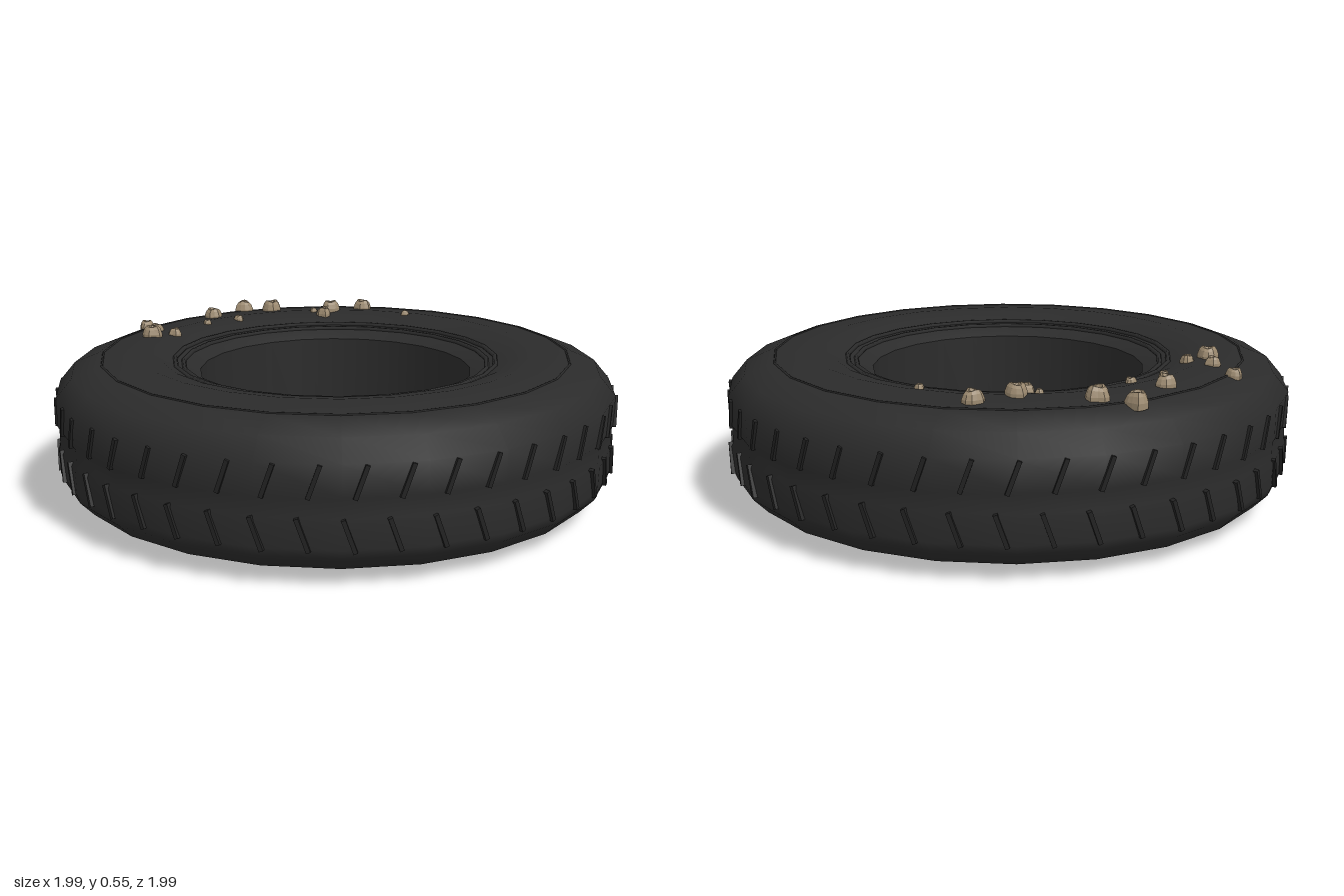
import * as THREE from 'three';

const SIDES = 24;
const rubber = new THREE.MeshStandardMaterial({ name: 'rubber', color: 0x2b2b2b });
const darkRubber = new THREE.MeshStandardMaterial({ name: 'darkRubber', color: 0x222222 });
const shell = new THREE.MeshStandardMaterial({ name: 'shell', color: 0x9c8a70, flatShading: true });
const shellHole = new THREE.MeshStandardMaterial({ name: 'shellHole', color: 0x4a4036, flatShading: true });

// Outer profile from the lower bead, round the tread, to the upper bead
const PROFILE = [
  [0.485, 0.045], [0.6, 0.015], [0.75, 0], [0.93, 0.05], [0.978, 0.1], [0.988, 0.13],
  [0.99, 0.215], [0.984, 0.225], [0.984, 0.285], [0.99, 0.295], [0.99, 0.395],
  [0.935, 0.46], [0.85, 0.494], [0.7, 0.51], [0.62, 0.495], [0.58, 0.477], [0.525, 0.457], [0.485, 0.435],
];

function add(parent, name, geometry, material) {
  const mesh = new THREE.Mesh(geometry, material);
  mesh.name = name;
  parent.add(mesh);
  return mesh;
}

const lathe = (points, sides) =>
  new THREE.LatheGeometry(points.map(([r, y]) => new THREE.Vector2(r, y)), sides);

function ring(parent, name, radius, y, tube) {
  const mesh = add(parent, name, new THREE.TorusGeometry(radius, tube, 6, SIDES), rubber);
  mesh.rotation.x = -Math.PI / 2;
  mesh.position.y = y;
}

// Height of the upper sidewall at a given radius
function sidewallHeight(r) {
  for (let i = 11; i < PROFILE.length - 1; i++) {
    const [r0, y0] = PROFILE[i], [r1, y1] = PROFILE[i + 1];
    if (r <= r0 && r >= r1) return y0 + ((y1 - y0) * (r0 - r)) / (r0 - r1);
  }
  return 0.5;
}

// One row of slanted tread bars lying on the flat facets of the tyre
function treadRow(parent, name, y, start, slant) {
  const row = new THREE.Group();
  row.name = name;
  const count = 45, step = (2 * Math.PI) / SIDES;
  const bar = new THREE.BoxGeometry(0.014, 0.11, 0.022);
  for (let i = 0; i < count; i++) {
    const angle = start + (i / count) * 2 * Math.PI;
    const offset = angle - (Math.floor(angle / step) + 0.5) * step;
    const radius = (0.99 * Math.cos(step / 2)) / Math.cos(offset);
    const pivot = new THREE.Group();
    pivot.rotation.y = angle;
    const mesh = add(pivot, 'treadBar', bar, darkRubber);
    mesh.position.set(0, y, radius - 0.002);
    mesh.rotation.z = slant;
    row.add(pivot);
  }
  parent.add(row);
}

// A craggy cone with a sunken, dark mouth
function barnacle(parent, x, z, size, seed) {
  const group = new THREE.Group();
  group.name = 'barnacle';
  const wobble = (geometry) => {
    const p = geometry.attributes.position;
    for (let i = 0; i < p.count; i++) {
      const a = Math.atan2(p.getX(i), p.getZ(i));
      const k = 1 + 0.1 * Math.sin(3 * a + seed * 2) + 0.07 * Math.sin(5 * a + seed);
      p.setXYZ(i, p.getX(i) * k, p.getY(i) * (1 + 0.08 * Math.sin(2 * a + seed)), p.getZ(i) * k);
    }
    geometry.computeVertexNormals();
    return geometry;
  };
  add(group, 'barnacleShell', wobble(lathe(
    [[1, -0.3], [1, 0.25], [0.82, 0.75], [0.58, 1.05], [0.4, 1.05], [0.28, 0.75]], 11)), shell);
  add(group, 'barnacleMouth', wobble(lathe([[0.3, 0.78], [0, 0.7]], 11)), shellHole);
  group.scale.setScalar(size);
  group.position.set(x, sidewallHeight(Math.hypot(x, z)), z);
  parent.add(group);
}

export function createModel() {
  const model = new THREE.Group();
  model.name = 'tyre';

  // Tyre body and the straight inner wall
  add(model, 'tyreBody', lathe(PROFILE, SIDES), rubber);
  add(model, 'innerWall', lathe([[0.485, 0.435], [0.485, 0.045]], SIDES), rubber);

  // Bead ridges around the opening and a faint seam on the sidewall
  ring(model, 'outerBead', 0.575, 0.476, 0.009);
  ring(model, 'innerBead', 0.545, 0.465, 0.009);
  ring(model, 'sidewallSeam', 0.83, 0.496, 0.004);

  // Tread
  treadRow(model, 'upperTread', 0.34, -0.03, -0.34);
  treadRow(model, 'lowerTread', 0.175, -0.065, 0.34);

  // Barnacles on the upper sidewall: x, z, size
  const barnacles = [
    [-0.21, -0.82, 0.026], [0.07, -0.75, 0.033], [0.28, -0.8, 0.037], [0.335, -0.69, 0.038],
    [-0.325, -0.635, 0.035], [-0.26, -0.7, 0.026], [-0.24, -0.61, 0.024], [-0.03, -0.67, 0.015],
    [0.115, -0.645, 0.018], [0.425, -0.535, 0.014], [0.43, -0.48, 0.028], [0.49, -0.5, 0.034],
    [0.62, -0.44, 0.034], [0.64, -0.225, 0.016],
  ];
  barnacles.forEach(([x, z, size], i) => barnacle(model, x, z, size, i * 1.7));

  return model;
}
